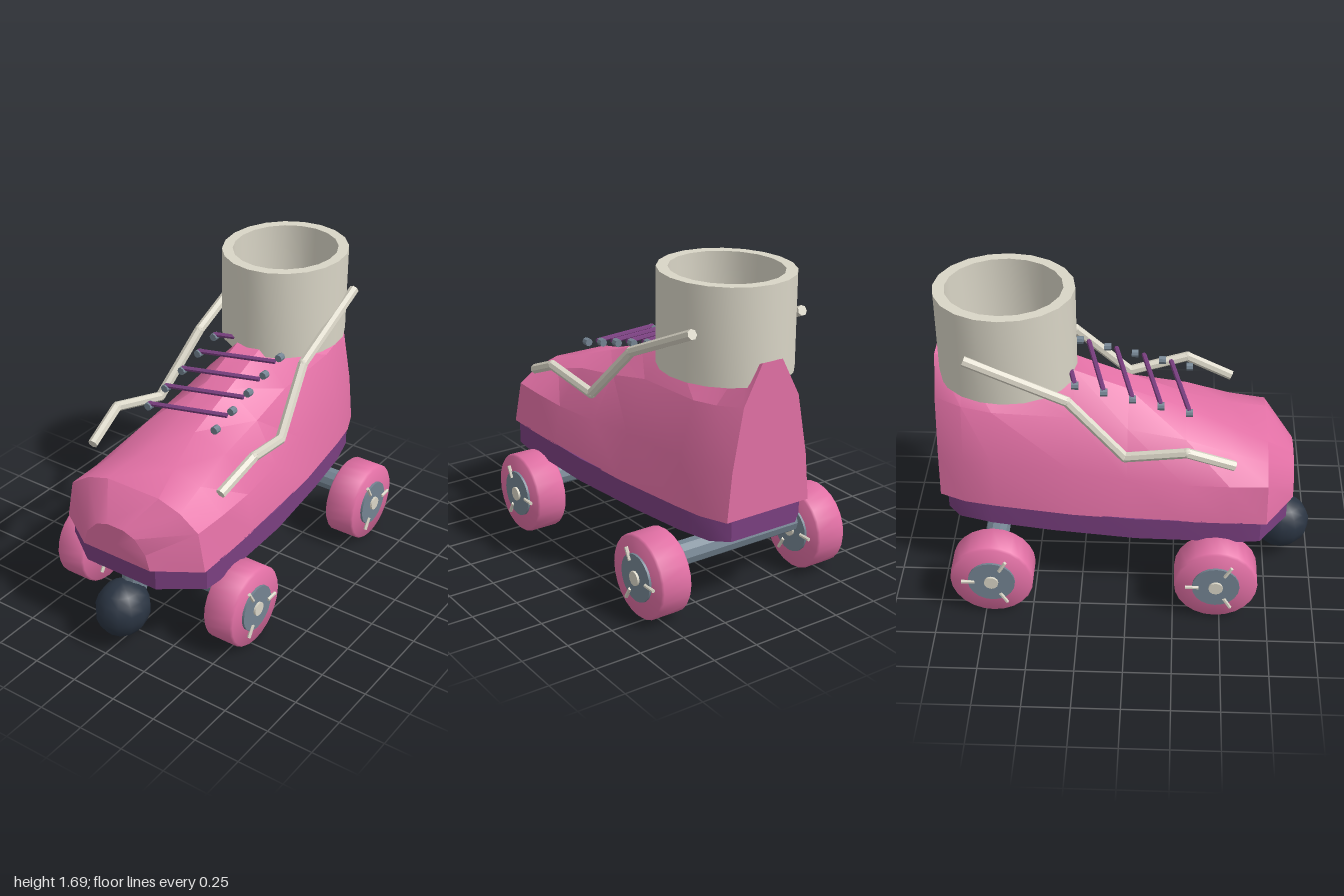
import * as THREE from 'three';
import { toCreasedNormals } from 'three/addons/utils/BufferGeometryUtils.js';

const material = (name, color) => {
  const m = new THREE.MeshStandardMaterial({ color });
  m.name = name;
  return m;
};

export function createModel() {
  const pink = material('pink', 0xe270a5);
  const cream = material('cream', 0xd9d5c6);
  const purple = material('purple', 0x7a3f80);
  const steel = material('steel grey', 0x748492);
  const navy = material('dark navy', 0x2a3442);

  const model = new THREE.Group();
  model.name = 'rollerSkate';

  const add = (parent, name, geometry, mat, x = 0, y = 0, z = 0) => {
    const mesh = new THREE.Mesh(geometry, mat);
    mesh.name = name;
    mesh.position.set(x, y, z);
    parent.add(mesh);
    return mesh;
  };
  const group = (name) => {
    const g = new THREE.Group();
    g.name = name;
    model.add(g);
    return g;
  };
  const crease = (geometry, angle = 0.6) => toCreasedNormals(geometry, angle);

  // Straight round bar between two points
  const rod = (parent, name, from, to, radius, sides, mat) => {
    const a = new THREE.Vector3(...from), b = new THREE.Vector3(...to);
    const dir = b.clone().sub(a);
    const geo = crease(new THREE.CylinderGeometry(radius, radius, dir.length(), sides));
    const mesh = add(parent, name, geo, mat);
    mesh.position.copy(a).add(b).multiplyScalar(0.5);
    mesh.quaternion.setFromUnitVectors(new THREE.Vector3(0, 1, 0), dir.normalize());
    return mesh;
  };

  // Closed loft through mirrored half sections, running from front to back
  const loft = (sections) => {
    const pos = [], index = [];
    const n = sections[0].half.length * 2;
    for (const { z, half } of sections) {
      for (const [x, y] of half) pos.push(x, y, z);
      for (const [x, y] of [...half].reverse()) pos.push(-x, y, z);
    }
    const last = (sections.length - 1) * n;
    for (let i = 0; i < last; i += n) {
      for (let j = 0; j < n; j++) {
        const k = (j + 1) % n;
        index.push(i + j, i + n + j, i + k, i + k, i + n + j, i + n + k);
      }
    }
    const front = pos.length / 3;
    pos.push(0, 0.62, sections[0].z, 0, 0.8, sections[sections.length - 1].z);
    for (let j = 0; j < n; j++) {
      const k = (j + 1) % n;
      index.push(front, j, k, front + 1, last + k, last + j);
    }
    const geo = new THREE.BufferGeometry();
    geo.setAttribute('position', new THREE.Float32BufferAttribute(pos, 3));
    geo.setIndex(index);
    return geo;
  };

  // Boot: each half section goes from the bottom edge up to the ridge
  const boot = loft([
    { z: 0.88, half: [[0.21, 0.545], [0.185, 0.63], [0.12, 0.7], [0.05, 0.725]] },
    { z: 0.73, half: [[0.44, 0.545], [0.4, 0.76], [0.29, 0.835], [0.16, 0.875]] },
    { z: 0.53, half: [[0.44, 0.545], [0.405, 0.76], [0.27, 0.88], [0.11, 0.93]] },
    { z: 0.3, half: [[0.435, 0.545], [0.4, 0.76], [0.26, 0.95], [0.07, 1.015]] },
    { z: 0, half: [[0.42, 0.545], [0.375, 0.77], [0.25, 1.0], [0.07, 1.13]] },
    { z: -0.28, half: [[0.4, 0.545], [0.35, 0.79], [0.24, 1.06], [0.07, 1.24]] },
    { z: -0.7, half: [[0.34, 0.545], [0.32, 0.8], [0.24, 1.08], [0.07, 1.22]] },
    { z: -0.86, half: [[0.31, 0.545], [0.29, 0.8], [0.22, 1.1], [0.07, 1.27]] },
    { z: -1, half: [[0.25, 0.545], [0.225, 0.8], [0.165, 1.12], [0.06, 1.32]] },
  ]);
  add(model, 'boot', crease(boot, 0.55), pink);

  // Sole plate
  const outline = [[0.22, 0.85], [0.43, 0.7], [0.44, 0.6], [0.43, 0.05], [0.38, -0.4],
    [0.33, -0.72], [0.28, -0.9], [0.2, -0.97]];
  const soleShape = new THREE.Shape([
    ...outline, ...[...outline].reverse().map(([x, z]) => [-x, z]),
  ].map(([x, z]) => new THREE.Vector2(x, z)));
  const sole = new THREE.ExtrudeGeometry(soleShape, { depth: 0.13, bevelEnabled: false });
  sole.rotateX(Math.PI / 2);
  add(model, 'sole', crease(sole), purple, 0, 0.55, 0);

  // Ankle cuff: hollow oval tube
  const cuffProfile = [[0.36, 1.2], [0.36, 1.69], [0.3, 1.69], [0.3, 1.2], [0.36, 1.2]];
  const cuff = new THREE.LatheGeometry(cuffProfile.map((p) => new THREE.Vector2(...p)), 20);
  cuff.scale(0.92, 1, 1);
  add(model, 'ankleCuff', crease(cuff), cream, 0, 0, -0.63);

  // Side straps
  const strapPath = [[0.405, 0.9, 0.55], [0.435, 1.0, 0.305], [0.39, 0.93, -0.01],
    [0.335, 1.23, -0.3], [0.33, 1.46, -0.81]];
  for (const side of [1, -1]) {
    const strap = group(side > 0 ? 'leftStrap' : 'rightStrap');
    const path = strapPath.map(([x, y, z]) => [x * side, y, z]);
    for (let i = 0; i < path.length - 1; i++) {
      rod(strap, 'strapSegment', path[i], path[i + 1], 0.027, 7, cream);
      if (i > 0) add(strap, 'strapJoint', new THREE.SphereGeometry(0.027, 8, 6), cream, ...path[i]);
    }
  }

  // Eyelets and laces
  const lacing = group('lacing');
  for (let i = 0; i < 5; i++) {
    const z = 0.315 - i * 0.146, y = 1.085 + i * 0.039;
    for (const x of [-0.21, 0.21]) {
      rod(lacing, 'eyelet', [x, y, z + 0.018], [x, y, z - 0.018], 0.021, 8, steel);
    }
    rod(lacing, 'lace', [-0.215, y + 0.012, z], [0.21, y + 0.034, z - 0.1], 0.013, 6, purple);
  }

  // Axles and wheels
  const wheelProfile = [[0, -0.0875], [0.21, -0.0875], [0.22, -0.077], [0.22, 0.077],
    [0.21, 0.0875], [0, 0.0875]].map((p) => new THREE.Vector2(...p));
  const tyre = crease(new THREE.LatheGeometry(wheelProfile, 24).rotateZ(Math.PI / 2), 0.9);
  const hub = crease(new THREE.CylinderGeometry(0.125, 0.125, 0.2, 20).rotateZ(Math.PI / 2));
  const cap = crease(new THREE.CylinderGeometry(0.038, 0.038, 0.224, 12).rotateZ(Math.PI / 2));
  for (const [label, z] of [['front', 0.475], ['rear', -0.71]]) {
    rod(model, label + 'Axle', [-0.4, 0.282, z], [0.4, 0.282, z], 0.065, 10, steel);
    for (const side of [1, -1]) {
      const wheel = group(label + (side > 0 ? 'Left' : 'Right') + 'Wheel');
      wheel.position.set(0.486 * side, 0.225, z);
      add(wheel, 'tyre', tyre, pink);
      add(wheel, 'hub', hub, steel);
      add(wheel, 'axleCap', cap, cream);
      for (const x of [-0.102, 0.102]) {
        for (let i = 0; i < 3; i++) {
          const a = (i * 2 * Math.PI) / 3;
          const at = (r) => [x, Math.sin(a) * r, -Math.cos(a) * r];
          rod(wheel, 'hubPin', at(0.09), at(0.16), 0.01, 6, cream);
        }
      }
    }
  }

  // Toe stop and its post
  rod(model, 'toeStopPost', [0, 0.43, 0.74], [0, 0.27, 0.74], 0.075, 10, steel).scale.x = 0.8;
  const ball = new THREE.SphereGeometry(0.155, 12, 9);
  ball.scale(0.9, 1, 1);
  add(model, 'toeStop', ball, navy, 0, 0.208, 0.845);

  return model;
}
